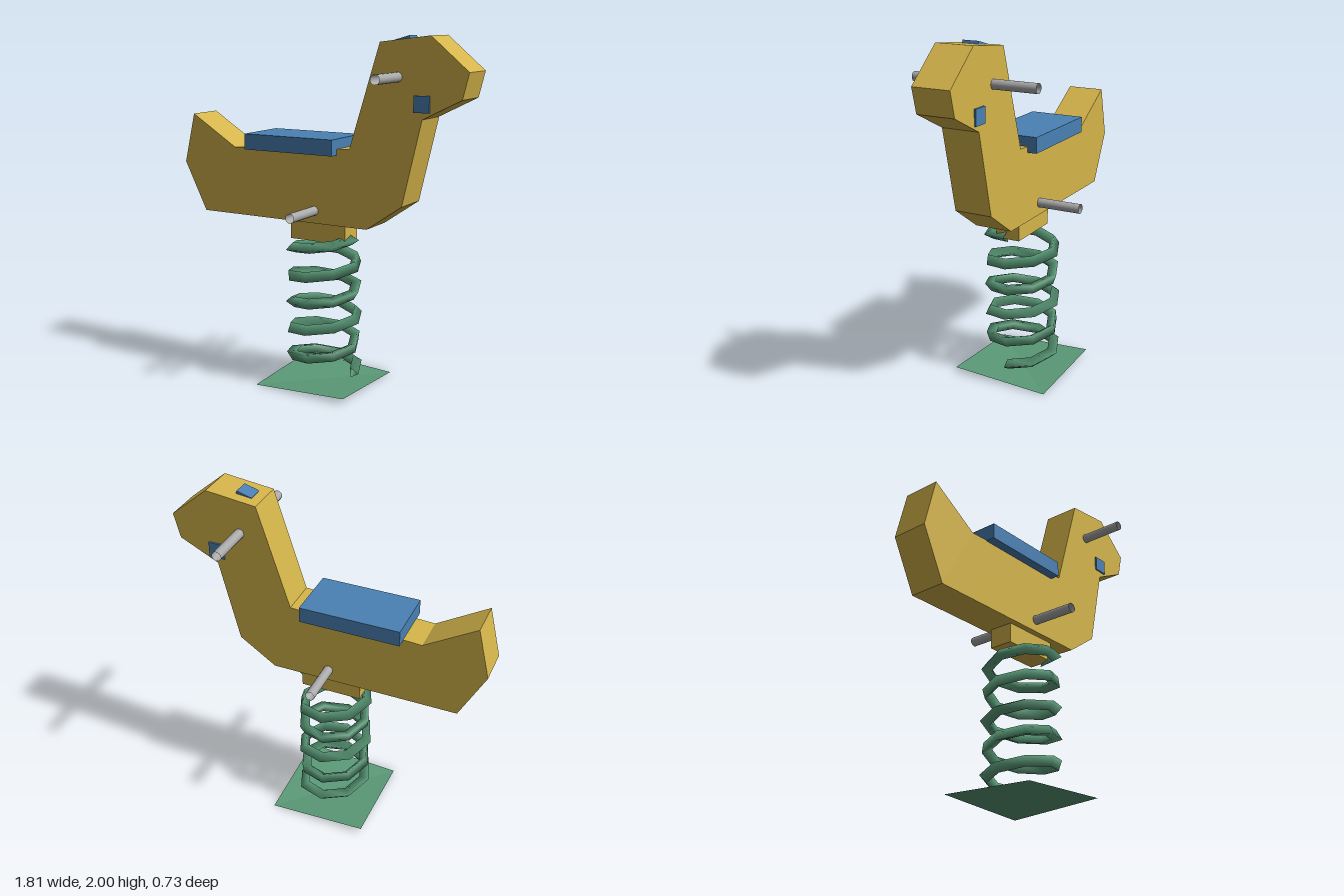
import * as THREE from 'three';

const paint = (color, extra = {}) => new THREE.MeshStandardMaterial({ color, ...extra });

// Rising coil that starts at +x and turns towards -z
class Coil extends THREE.Curve {
  constructor(radius, bottom, top, turns) {
    super();
    Object.assign(this, { radius, bottom, top, turns });
  }
  getPoint(t, target = new THREE.Vector3()) {
    const a = t * this.turns * Math.PI * 2;
    return target.set(
      this.radius * Math.cos(a),
      this.bottom + (this.top - this.bottom) * t,
      -this.radius * Math.sin(a)
    );
  }
}

export function createModel() {
  const model = new THREE.Group();
  model.name = 'springRocker';

  const yellow = paint(0xd4b44a);
  const blue = paint(0x4a80b4);
  const green = paint(0x5a9a78, { side: THREE.DoubleSide });
  const grey = paint(0xaaaaaa, { side: THREE.DoubleSide });

  function add(name, geometry, material, x = 0, y = 0, z = 0) {
    const mesh = new THREE.Mesh(geometry, material);
    mesh.name = name;
    mesh.position.set(x, y, z);
    model.add(mesh);
    return mesh;
  }

  // Bird-shaped body cut from a thick board
  const outline = [
    [-0.76, 0.955], [0.33, 0.955], [0.54, 1.1], [0.65, 1.57], [0.87, 1.68],
    [0.905, 1.82], [0.69, 2.0], [0.4, 1.965], [0.22, 1.387], [-0.54, 1.35],
    [-0.835, 1.53], [-0.905, 1.24],
  ].map(([x, y]) => new THREE.Vector2(x, y));
  const thickness = 0.216;
  add('body', new THREE.ExtrudeGeometry(new THREE.Shape(outline), {
    depth: thickness, bevelEnabled: false,
  }), yellow, 0, 0, -thickness / 2);

  // Block joining the body to the spring
  add('mountBlock', new THREE.BoxGeometry(0.355, 0.115, 0.142), yellow, -0.003, 0.9, 0);

  // Seat, eyes and the small tilted tile on the head
  add('seat', new THREE.BoxGeometry(0.575, 0.09, 0.325), blue, -0.145, 1.395, 0);
  for (const side of [1, -1]) {
    add(side > 0 ? 'frontEye' : 'backEye',
      new THREE.BoxGeometry(0.09, 0.088, 0.03), blue, 0.648, 1.65, side * 0.103);
  }
  add('headTile', new THREE.BoxGeometry(0.09, 0.03, 0.092), blue, 0.5, 1.972, 0).rotation.z = 0.28;

  // Handlebar and footrest: open tubes running through the body
  for (const [name, x, y] of [['handlebar', 0.505, 1.785], ['footrest', -0.003, 1.026]]) {
    const tube = new THREE.CylinderGeometry(0.027, 0.027, 0.725, 16, 1, true);
    add(name, tube, grey, x, y, 0).rotation.x = Math.PI / 2;
  }

  // Coarse three-sided coil spring
  add('spring', new THREE.TubeGeometry(new Coil(0.193, 0.07, 0.86, 5), 40, 0.035, 3, false), green);

  // Thin base sheet, folded slightly along one diagonal
  const base = new THREE.BufferGeometry();
  const h = 0.288;
  base.setAttribute('position', new THREE.Float32BufferAttribute([
    -h, 0, h, h, 0.03, h, h, 0, -h,
    -h, 0, h, h, 0, -h, -h, 0.03, -h,
  ], 3));
  base.computeVertexNormals();
  add('basePlate', base, green);

  return model;
}
